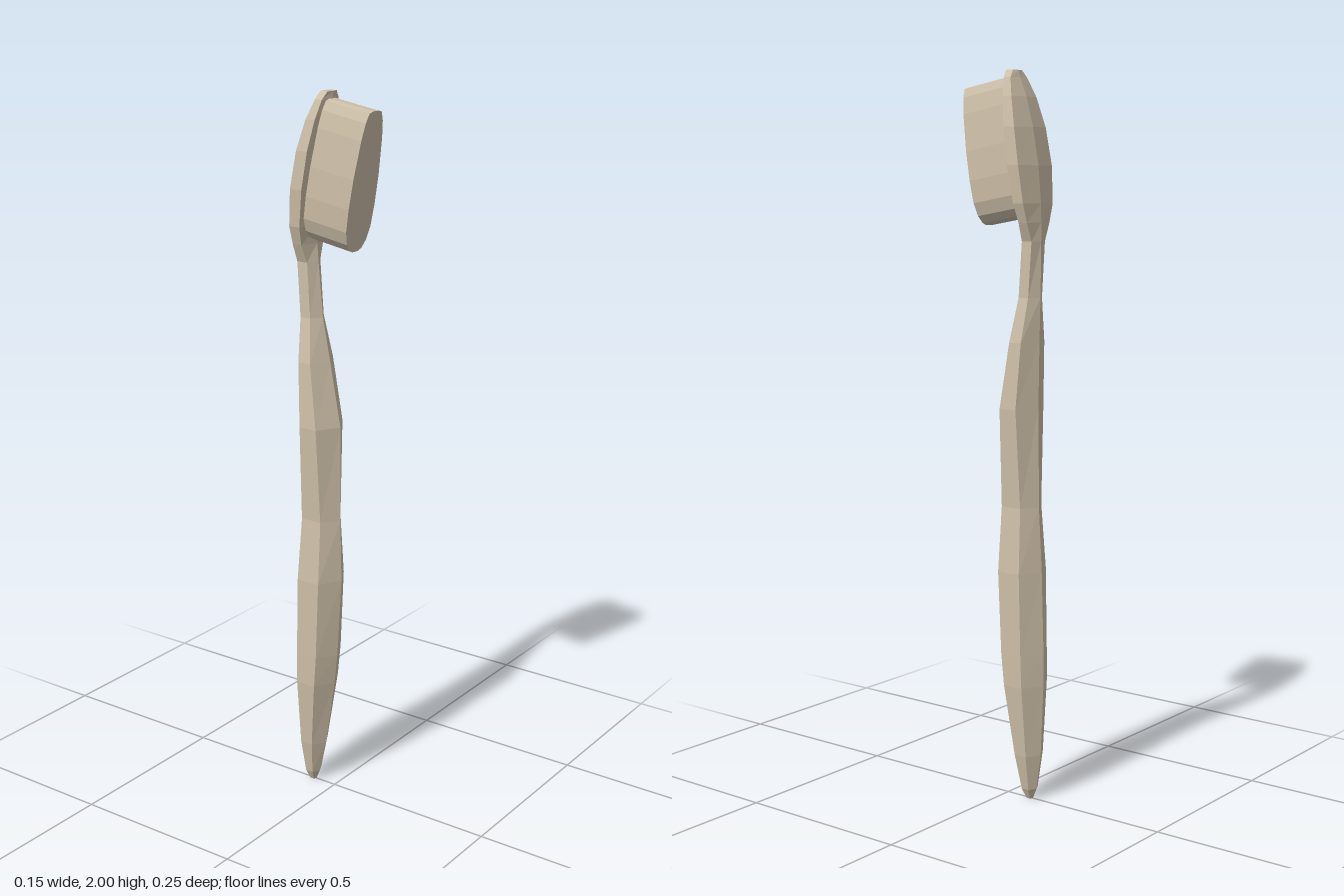
import * as THREE from 'three';

const material = new THREE.MeshStandardMaterial({ color: 0xcdbfa8, flatShading: true });

// Loft six-sided sections upward. Each row: y, half width, then z of the
// front ridge, front side edge, back side edge and back ridge.
function loft(rows) {
  const pos = [], index = [], n = 6;
  for (const [y, w, zf, sf, sb, zb] of rows) {
    pos.push(0, y, zf, w, y, sf, w, y, sb, 0, y, zb, -w, y, sb, -w, y, sf);
  }
  for (let r = 0; r < rows.length - 1; r++) {
    for (let i = 0; i < n; i++) {
      const a = r * n + i, b = r * n + (i + 1) % n;
      index.push(a, b, b + n, a, b + n, a + n);
    }
  }
  const top = (rows.length - 1) * n;
  for (let i = 1; i < n - 1; i++) {
    index.push(0, i + 1, i, top, top + i, top + i + 1);
  }
  const geo = new THREE.BufferGeometry();
  geo.setAttribute('position', new THREE.Float32BufferAttribute(pos, 3));
  geo.setIndex(index);
  geo.computeVertexNormals();
  return geo;
}

function addMesh(group, name, geo) {
  const mesh = new THREE.Mesh(geo, material);
  mesh.name = name;
  group.add(mesh);
  return mesh;
}

export function createModel() {
  const group = new THREE.Group();
  group.name = 'toothbrush';

  // Ridged handle with a waist and a slim neck
  const neckEnd = [1.55, 0.03, -0.052, -0.068, -0.1, -0.11];
  addMesh(group, 'handle', loft([
    [0.0, 0.008, -0.066, -0.07, -0.082, -0.086],
    [0.03, 0.022, -0.053, -0.064, -0.087, -0.099],
    [0.13, 0.04, -0.03, -0.053, -0.091, -0.113],
    [0.33, 0.059, 0.0, -0.03, -0.09, -0.122],
    [0.42, 0.061, 0.01, -0.022, -0.088, -0.122],
    [0.65, 0.062, 0.024, -0.012, -0.083, -0.115],
    [0.83, 0.048, 0.02, -0.014, -0.077, -0.105],
    [1.1, 0.063, 0.02, -0.018, -0.072, -0.102],
    [1.28, 0.053, -0.014, -0.043, -0.082, -0.105],
    [1.4, 0.031, -0.038, -0.058, -0.09, -0.108],
    neckEnd,
  ]));

  // Oval head plate, curving forward to the tip
  addMesh(group, 'head', loft([
    neckEnd,
    [1.6, 0.05, -0.056, -0.072, -0.1, -0.11],
    [1.65, 0.066, -0.05, -0.066, -0.099, -0.109],
    [1.75, 0.075, -0.037, -0.052, -0.089, -0.1],
    [1.85, 0.07, -0.022, -0.037, -0.072, -0.082],
    [1.93, 0.055, -0.011, -0.023, -0.052, -0.06],
    [1.98, 0.037, -0.004, -0.013, -0.035, -0.04],
    [2.0, 0.02, -0.004, -0.007, -0.03, -0.034],
  ]));

  // Bristle block: rounded outline, half drawn then mirrored
  const half = [[0.012, 0], [0.027, 0.006], [0.043, 0.025], [0.055, 0.06],
    [0.059, 0.12], [0.057, 0.2], [0.047, 0.3], [0.038, 0.345], [0.027, 0.369], [0.012, 0.373]];
  const outline = [...half, ...half.map(([x, y]) => [-x, y]).reverse()]
    .map(([x, y]) => new THREE.Vector2(x, y));
  const bristleGeo = new THREE.ExtrudeGeometry(new THREE.Shape(outline), { depth: 0.138, bevelEnabled: false });
  bristleGeo.translate(0, 0, -0.012);
  const bristles = addMesh(group, 'bristles', bristleGeo);
  bristles.rotation.x = 0.17;
  bristles.position.set(0, 1.612, -0.058);

  return group;
}
